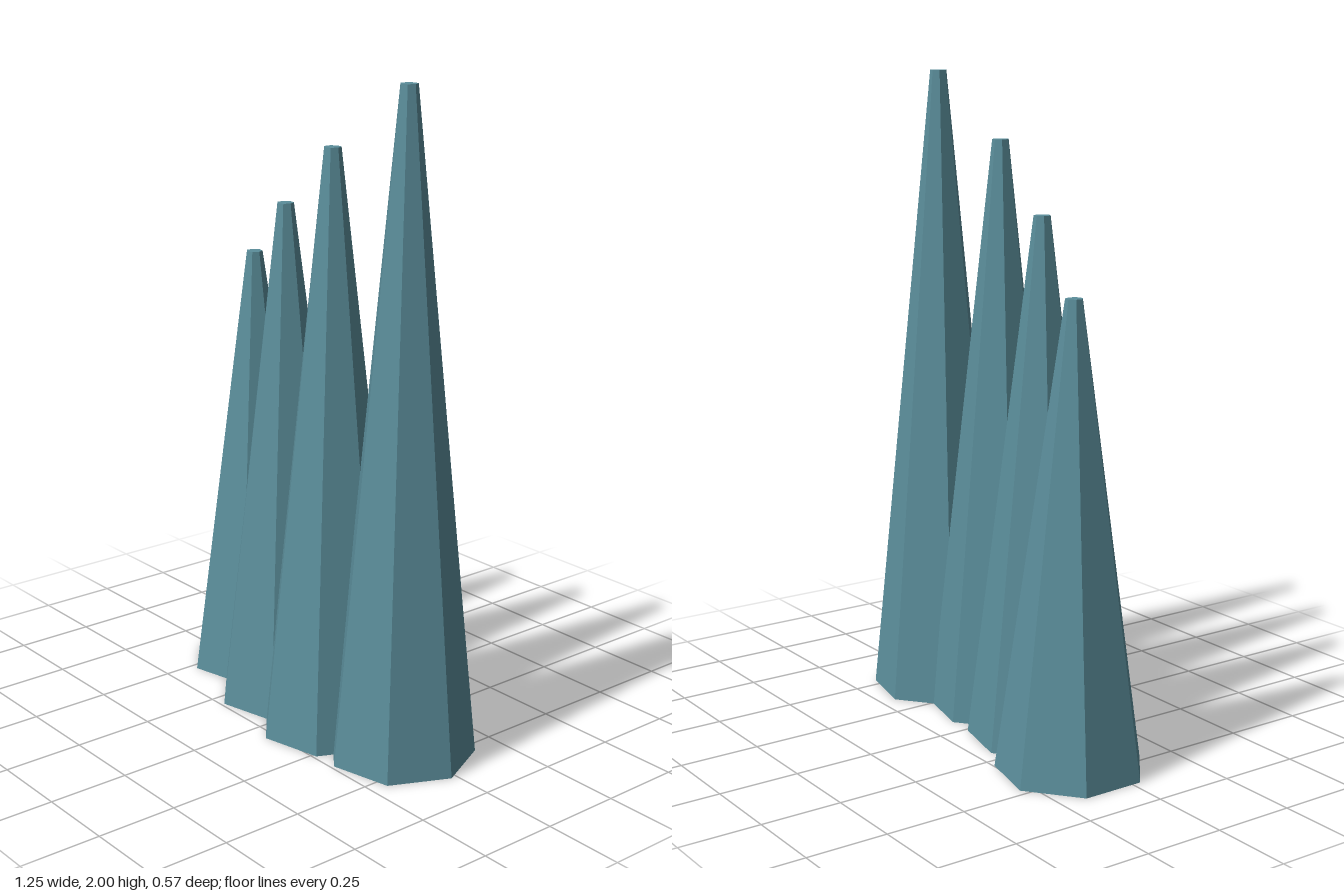
import * as THREE from 'three';

export function createModel() {
  const group = new THREE.Group();
  group.name = 'spireRow';

  const slateTeal = new THREE.MeshStandardMaterial({ color: 0x5b8e9b, flatShading: true });
  slateTeal.name = 'slateTeal';

  // Seven-sided tapering spires, one corner pointing to +x: [x, z, height]
  const spires = [
    [-0.424, -0.07, 1.393],
    [-0.15, 0.02, 1.596],
    [0.124, 0.064, 1.8],
    [0.397, 0.02, 2.0],
  ];
  spires.forEach(([x, z, height], i) => {
    const geometry = new THREE.CylinderGeometry(0.026, 0.225, height, 7, 1, false, Math.PI / 2);
    const spire = new THREE.Mesh(geometry, slateTeal);
    spire.name = `spire${i + 1}`;
    spire.position.set(x, height / 2, z);
    group.add(spire);
  });

  return group;
}
